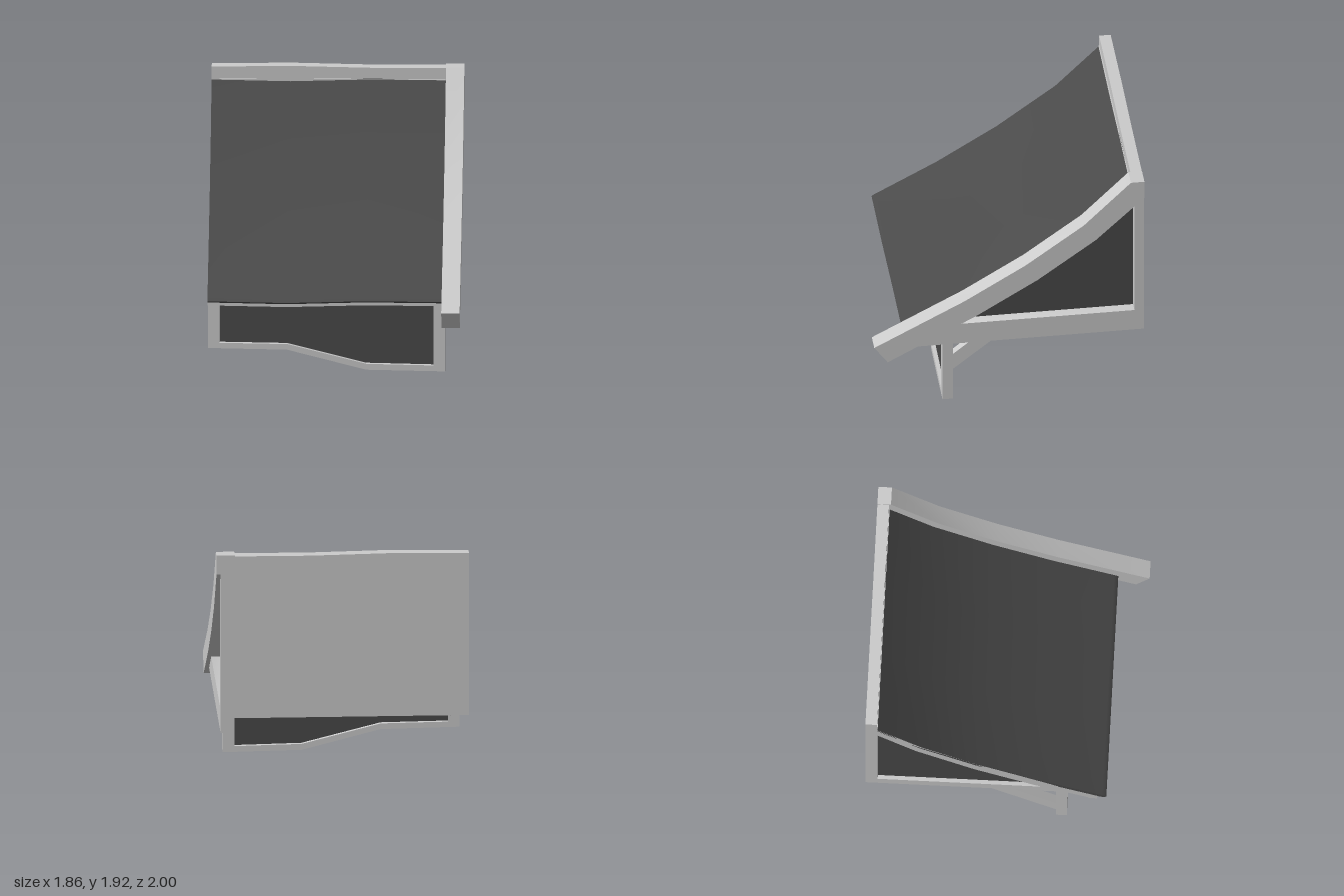
import * as THREE from 'three';
import { toCreasedNormals } from 'three/addons/utils/BufferGeometryUtils.js';

const grey = new THREE.MeshStandardMaterial({ color: 0xcccccc, side: THREE.DoubleSide });
const dark = new THREE.MeshStandardMaterial({ color: 0x4a4a4a, side: THREE.DoubleSide });

const X0 = -0.93, X1 = 0.81;

// Extrudes a side profile of [z, y] points from x0 to x1; sag bends it at thirds of its length.
function sideProfile(name, pts, x0, x1, material, sag) {
  const shape = new THREE.Shape(pts.map(([z, y]) => new THREE.Vector2(-z, y)));
  let geo = new THREE.ExtrudeGeometry(shape, { depth: x1 - x0, steps: sag ? 3 : 1, bevelEnabled: false });
  geo.rotateY(Math.PI / 2).translate(x0, 0, 0);
  if (sag) {
    const p = geo.attributes.position;
    for (let i = 0; i < p.count; i++) {
      p.setY(i, p.getY(i) + sag[Math.round(((p.getX(i) - x0) / (x1 - x0)) * 3)]);
    }
  }
  geo = toCreasedNormals(geo, 0.6);
  const mesh = new THREE.Mesh(geo, material);
  mesh.name = name;
  return mesh;
}

// Extrudes a front outline of [x, y] points from z0 to z1, with an optional opening.
function frontProfile(name, pts, z0, z1, material, hole) {
  const toVec = ([x, y]) => new THREE.Vector2(x, y);
  const shape = new THREE.Shape(pts.map(toVec));
  if (hole) shape.holes.push(new THREE.Path(hole.map(toVec)));
  const geo = new THREE.ExtrudeGeometry(shape, { depth: z1 - z0, bevelEnabled: false });
  geo.translate(0, 0, z0);
  const mesh = new THREE.Mesh(geo, material);
  mesh.name = name;
  return mesh;
}

function box(name, x0, x1, y0, y1, z0, z1, material) {
  const mesh = new THREE.Mesh(new THREE.BoxGeometry(x1 - x0, y1 - y0, z1 - z0), material);
  mesh.position.set((x0 + x1) / 2, (y0 + y1) / 2, (z0 + z1) / 2);
  mesh.name = name;
  return mesh;
}

export function createModel() {
  const group = new THREE.Group();
  const eaveSag = [0, -0.01, 0.007, 0.003];
  const ridgeSag = [0, 0.008, -0.003, -0.001];

  // Roof sheet: swept slope with a rounded lip at the eave
  const slope = [[0.74, 0.635], [0.29, 0.88], [-0.155, 1.16], [-0.59, 1.485], [-0.92, 1.82]];
  const lip = [[0.72, 0.605], [0.745, 0.598], [0.763, 0.603], [0.77, 0.614], [0.76, 0.624]];
  const under = slope.slice(1).map(([z, y]) => [z - 0.01, y - 0.035]).reverse();
  group.add(sideProfile('roof', [...lip, ...slope, ...under], X0, X1, dark, eaveSag));

  // Beams along the ridge and under the eave
  group.add(sideProfile('ridgeBeam', [[-1, 1.8], [-0.915, 1.8], [-0.915, 1.908], [-1, 1.908]], X0, X1, grey, ridgeSag));
  group.add(sideProfile('eaveBeam', [[0.64, 0.562], [0.7, 0.562], [0.7, 0.625], [0.64, 0.64]], X0, X1, grey, eaveSag));

  // Heavy barge board on the left
  group.add(sideProfile('bargeBoard', [
    [1, 0.6], [0.33, 0.96], [-0.12, 1.24], [-0.55, 1.56], [-0.9, 1.915], [-1, 1.915],
    [-1, 1.77], [-0.64, 1.42], [-0.21, 1.1], [0.24, 0.82], [0.9, 0.46],
  ], 0.79, 0.925, grey));

  // Left gable: post, sill beam and recessed panel
  group.add(box('leftPost', 0.8, 0.895, 0.56, 1.77, -1, -0.93, grey));
  group.add(sideProfile('leftSill', [[-1, 0.56], [0.7, 0.56], [0.39, 0.735], [-1, 0.735]], 0.795, 0.895, grey));
  group.add(sideProfile('leftPanel', [
    [-0.95, 0.7], [0.42, 0.7], [0.24, 0.84], [-0.21, 1.12], [-0.64, 1.44], [-0.95, 1.75],
  ], 0.79, 0.82, dark));

  // Right gable: slim rafter, sill and recessed panel
  const rafterTop = [[0.7, 0.645], ...slope.slice(1).map(([z, y]) => [z, y - 0.012])];
  const rafterBottom = [[-0.92, 1.69], [-0.63, 1.39], [-0.2, 1.06], [0.24, 0.785], [0.64, 0.575]];
  group.add(sideProfile('rightRafter', [...rafterTop, ...rafterBottom], X0, -0.85, grey));
  group.add(sideProfile('rightSill', [[-1, 0.67], [0.48, 0.67], [0.31, 0.755], [-1, 0.755]], X0, -0.85, grey));
  group.add(sideProfile('rightPanel', [
    [-0.95, 0.7], [0.4, 0.7], [0.24, 0.8], [-0.2, 1.08], [-0.63, 1.41], [-0.95, 1.73],
  ], -0.9, -0.87, dark));

  // Back wall and floor
  group.add(box('backWall', X0, 0.8, 0.67, 1.82, -1, -0.91, grey));
  group.add(box('floor', -0.9, 0.82, 0.7, 0.73, -0.95, 0.42, dark));

  // Hanging front frame with a stepped bottom rail and dark infill
  const opening = [[-0.845, 0.21], [-0.35, 0.203], [0.23, 0.055], [0.725, 0.045], [0.725, 0.61], [-0.845, 0.61]];
  group.add(frontProfile('frontFrame', [
    [X0, 0.17], [-0.35, 0.16], [0.23, 0.01], [X1, 0], [X1, 0.69], [X0, 0.69],
  ], 0.4, 0.48, grey, opening));
  group.add(frontProfile('frontPanel', opening, 0.43, 0.45, dark));

  // Diagonal braces behind the front frame
  for (const [name, x] of [['rightBrace', -0.92], ['leftBrace', 0.735]]) {
    group.add(sideProfile(name, [[0.41, 0.25], [0.41, 0.385], [0.04, 0.69], [-0.13, 0.69]], x, x + 0.06, grey));
  }
  return group;
}
